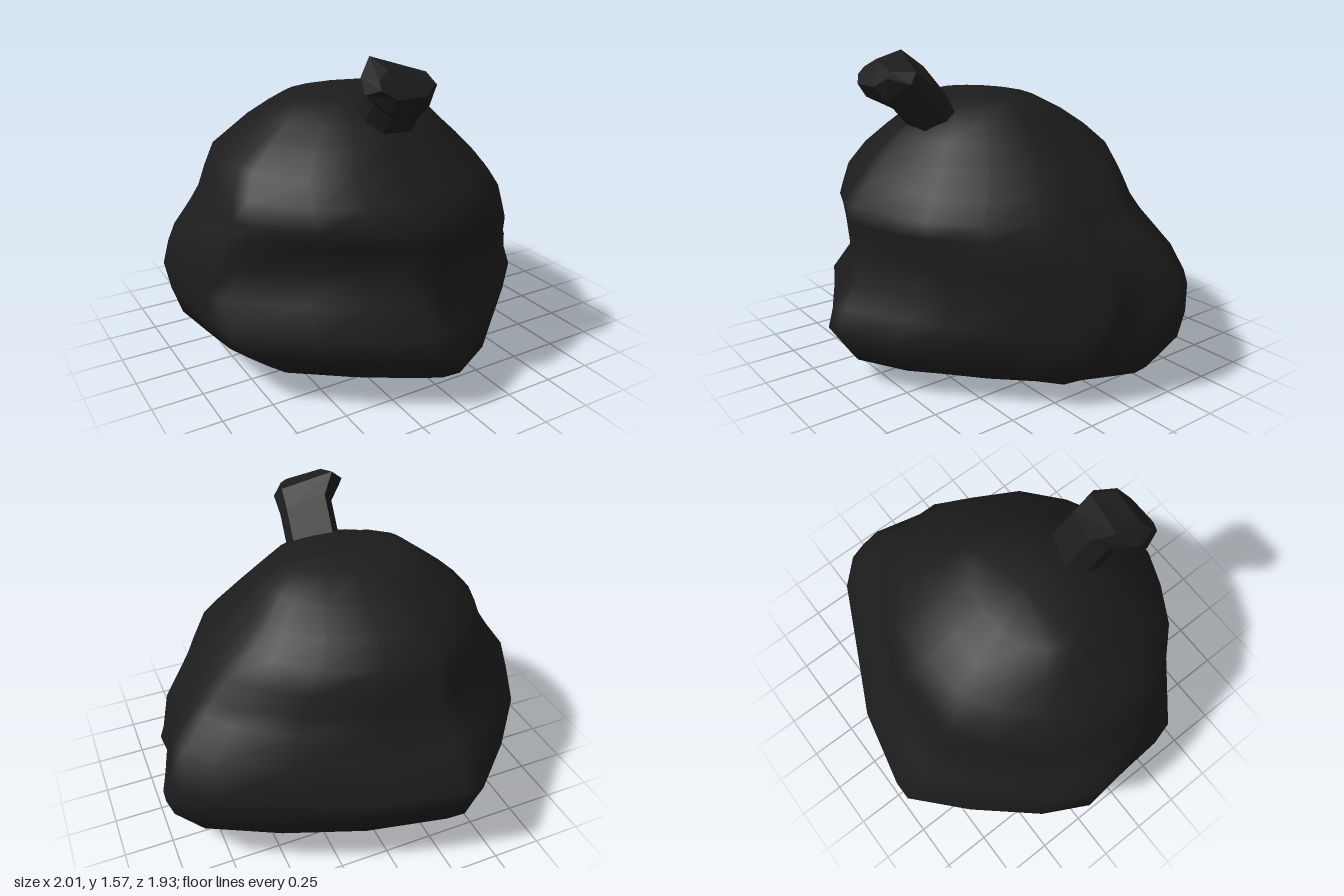
import * as THREE from 'three';

// Skin closed rings (counterclockwise about the loft direction) and close both ends
function loft(rings, startTip, endTip) {
  const n = rings[0].length;
  const pts = [...rings.flat(), startTip, endTip];
  const s = pts.length - 2, e = s + 1, last = (rings.length - 1) * n;
  const index = [];
  for (let j = 0; j < n; j++) {
    const k = (j + 1) % n;
    for (let i = 0; i < rings.length - 1; i++) {
      const a = i * n + j, b = i * n + k;
      index.push(a, b, b + n, a, b + n, a + n);
    }
    index.push(s, k, j, e, last + j, last + k);
  }
  const g = new THREE.BufferGeometry().setFromPoints(pts);
  g.setIndex(index);
  g.computeVertexNormals();
  return g;
}

// Widest outline of the sack seen from above (x, z)
const outline = [
  [1, -0.28], [0.97, -0.38], [0.84, -0.52], [0.5, -0.69], [0.13, -0.87], [-0.28, -0.96],
  [-0.38, -0.96], [-0.63, -0.72], [-0.88, -0.42], [-1, -0.18], [-0.98, 0.08], [-0.96, 0.3],
  [-0.92, 0.43], [-0.6, 0.7], [-0.36, 0.83], [-0.15, 0.95], [-0.03, 0.96], [0.27, 0.81],
  [0.45, 0.69], [0.68, 0.5], [0.82, 0.25], [0.93, 0.14], [0.92, 0.02], [0.96, -0.14],
];

// Levels: y, min x, max x, min z, max z, roundness,
// then how far the corners (+x+z, -x+z, -x-z, +x-z) bulge out or sink in
const levels = [
  [0.025, -0.47, 0.1, -0.17, 0.36, 0.6, 0, 0, 0, 0],
  [0.07, -0.64, 0.7, -0.35, 0.68, 0.4, -0.16, -0.08, 0.03, 0.12],
  [0.13, -0.78, 0.9, -0.6, 0.91, 0.2, -0.15, -0.08, 0.06, 0.13],
  [0.26, -0.94, 0.97, -0.86, 0.98, 0.05, -0.09, -0.03, 0.05, 0.07],
  [0.38, -0.98, 1.0, -0.91, 0.92, 0, -0.02, 0.03, 0.02, 0.02],
  [0.5, -1.0, 0.98, -0.96, 0.85, 0, 0, -0.03, 0, -0.01],
  [0.65, -1.0, 0.91, -0.81, 0.83, 0.3, 0, -0.13, 0, 0.05],
  [0.78, -0.91, 0.8, -0.74, 0.83, 0.5, 0, -0.07, 0, 0.02],
  [0.86, -0.86, 0.74, -0.71, 0.83, 0.6, 0, -0.01, 0, 0],
  [0.96, -0.81, 0.66, -0.68, 0.73, 0.7, 0, 0.06, 0, 0],
  [1.07, -0.75, 0.55, -0.63, 0.62, 0.8, 0, 0.06, 0, 0],
  [1.17, -0.63, 0.43, -0.51, 0.52, 0.85, 0, 0.04, 0, 0],
  [1.26, -0.52, 0.33, -0.36, 0.42, 0.9, 0, 0, 0, 0],
  [1.34, -0.42, 0.22, -0.18, 0.24, 1, 0, 0, 0, 0],
];

function sackGeometry() {
  const rings = levels.map(([y, x0, x1, z0, z1, round, ...bulges]) => outline.map(([ox, oz]) => {
    const v = new THREE.Vector2(ox, oz / 0.96);
    const a = v.angle();
    v.lerp(v.clone().normalize(), round);
    const bulge = bulges.reduce((sum, b, i) =>
      sum + b * Math.max(0, Math.cos(a - (i + 0.5) * Math.PI / 2)) ** 6, 0);
    v.multiplyScalar(1 + bulge);
    return new THREE.Vector3(
      THREE.MathUtils.lerp(x0, x1, (v.x + 1) / 2), y,
      THREE.MathUtils.lerp(z0, z1, (v.y + 1) / 2));
  }));
  return loft(rings, new THREE.Vector3(-0.18, 0, 0), new THREE.Vector3(-0.1, 1.36, 0.03));
}

// Uneven section of the tied neck: across, and up its leaning face
const neckSection = [
  [1, -0.25], [0.85, 0.25], [-0.5, 1], [-0.95, 0.3], [-1, -0.3], [-0.6, -1], [0.5, -1],
];

// Tied neck leaning forward: centre, half width, half depth of each ring
function knotGeometry() {
  const rings = [
    [-0.05, 1.24, 0.33, 0.14, 0.13],
    [-0.06, 1.395, 0.46, 0.14, 0.13],
    [-0.11, 1.465, 0.55, 0.19, 0.145],
    [-0.13, 1.48, 0.645, 0.14, 0.075],
  ].map(([x, y, z, w, d]) => neckSection.map(([u, v]) =>
    new THREE.Vector3(x + w * u, y + 0.75 * d * v, z - 0.66 * d * v)));
  const g = loft(rings, new THREE.Vector3(-0.05, 1.2, 0.28), new THREE.Vector3(-0.13, 1.48, 0.65))
    .toNonIndexed();
  g.computeVertexNormals(); // faceted
  return g;
}

export function createModel() {
  const group = new THREE.Group();
  group.name = 'garbageBag';
  const blackPlastic = new THREE.MeshStandardMaterial({ color: 0x1c1c1c });
  blackPlastic.name = 'black plastic';
  const sack = new THREE.Mesh(sackGeometry(), blackPlastic);
  sack.name = 'sack';
  const knot = new THREE.Mesh(knotGeometry(), blackPlastic);
  knot.name = 'tiedNeck';
  group.add(sack, knot);
  return group;
}
